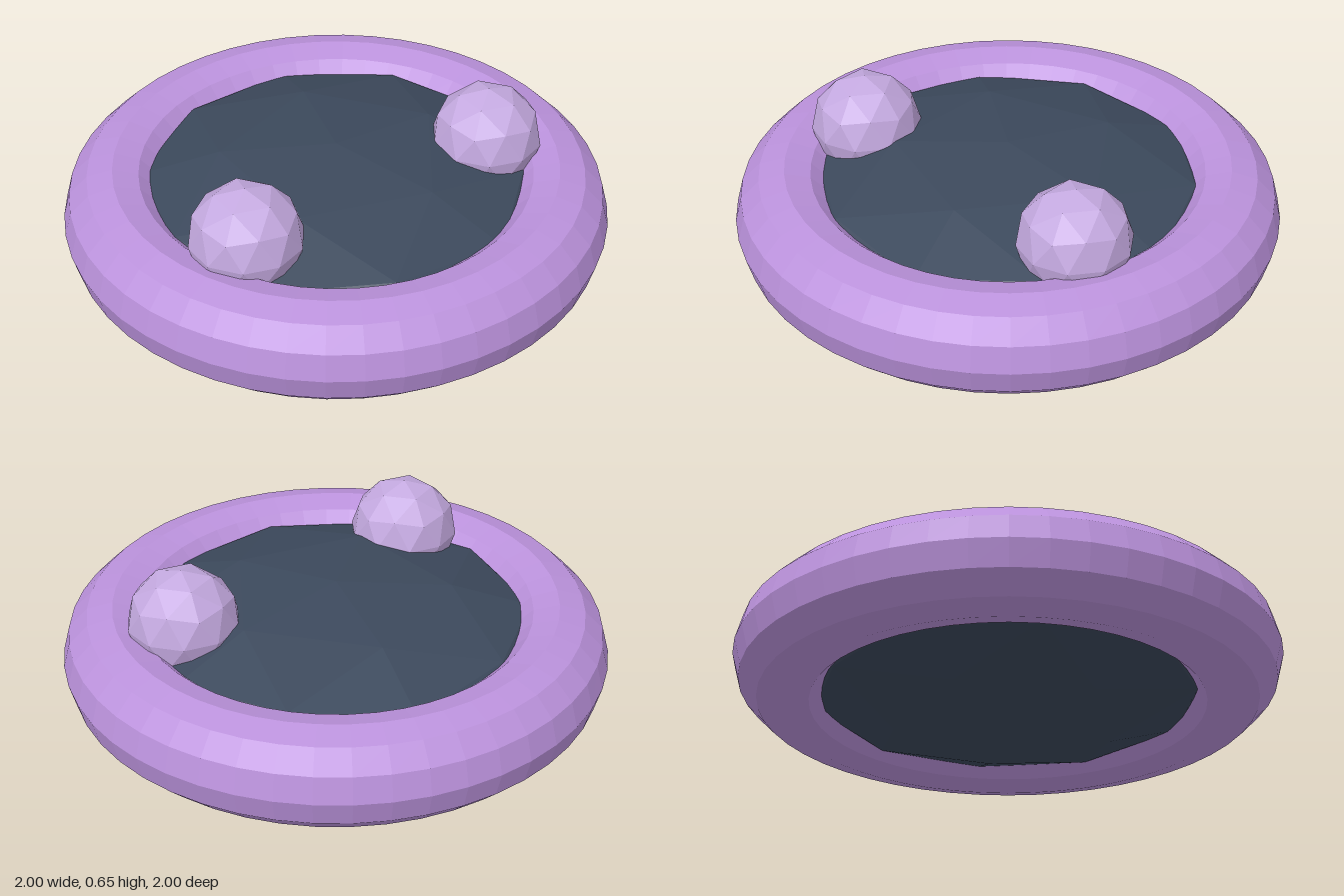
import * as THREE from 'three';

const CENTRE_Y = 0.252;

function flatMaterial(name, color) {
  const material = new THREE.MeshStandardMaterial({ color, flatShading: true });
  material.name = name;
  return material;
}

// Faceted ball with a corner at each pole and a fivefold ring around it
function facetedBall(rx, ry, rz) {
  const geometry = new THREE.IcosahedronGeometry(1, 1);
  geometry.rotateX(-Math.atan2(1 + Math.sqrt(5), 2));
  geometry.rotateY(Math.PI / 2);
  geometry.scale(rx, ry, rz);
  geometry.computeVertexNormals();
  return geometry;
}

export function createModel() {
  const model = new THREE.Group();
  model.name = 'ringWithKnobs';

  const purple = flatMaterial('purple', 0xbb92dc);
  const lavender = flatMaterial('lavender', 0xc4a9e0);
  const slate = flatMaterial('slate', 0x3c495c);

  function add(name, geometry, material, x, y, z) {
    const mesh = new THREE.Mesh(geometry, material);
    mesh.name = name;
    mesh.position.set(x, y, z);
    model.add(mesh);
  }

  // Outer ring
  const ring = new THREE.TorusGeometry(0.813, 0.187, 12, 48).rotateX(-Math.PI / 2).toNonIndexed();
  ring.computeVertexNormals();
  add('ring', ring, purple, 0, CENTRE_Y, 0);

  // Flattened core filling the ring
  add('core', facetedBall(0.81, 0.25, 0.8), slate, 0, CENTRE_Y, 0);

  // Pair of knobs resting on the ring
  for (const side of [-1, 1]) {
    const name = side > 0 ? 'leftKnob' : 'rightKnob';
    add(name, facetedBall(0.205, 0.205, 0.205), lavender, side * 0.53, 0.447, 0.215);
  }

  return model;
}
